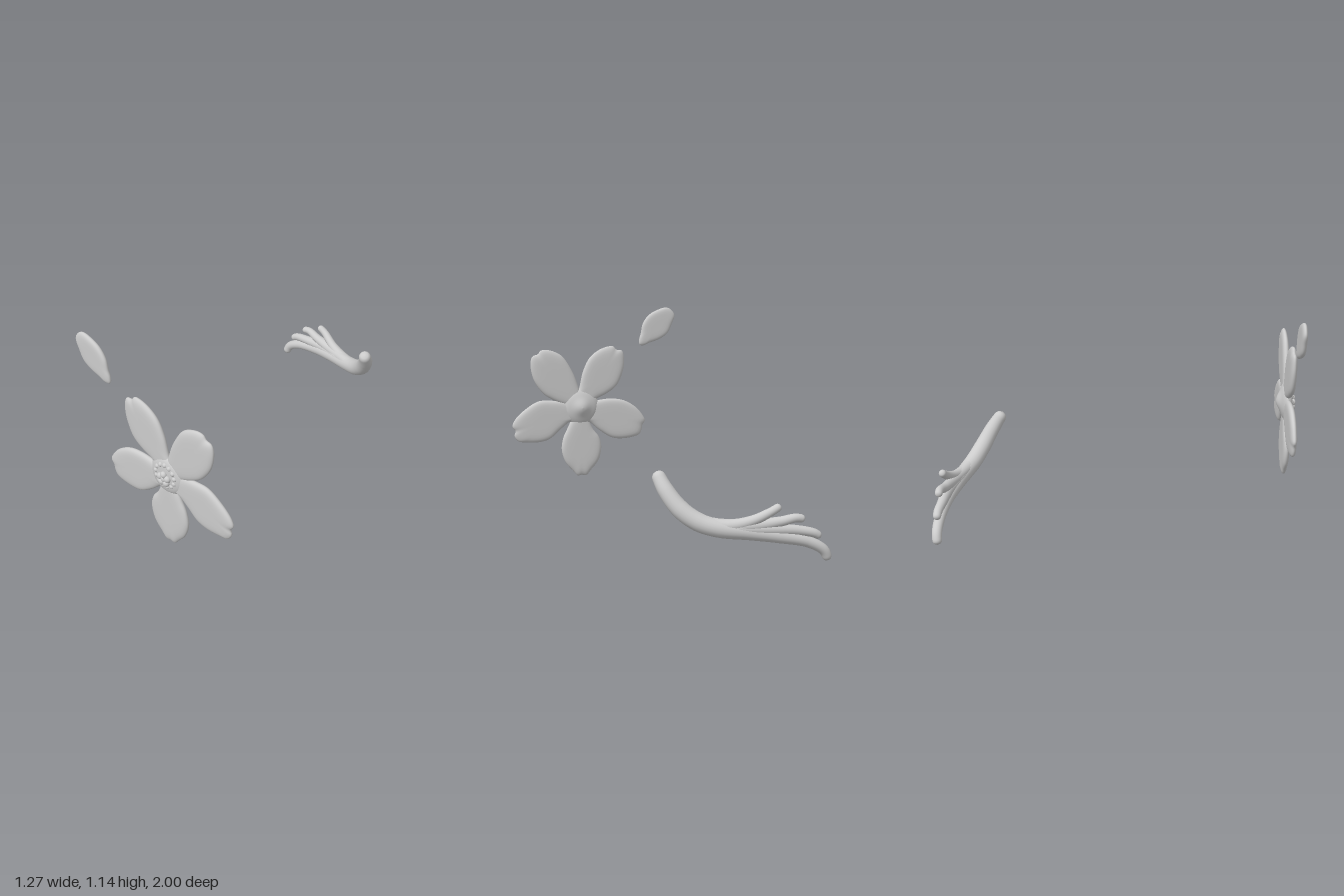
import * as THREE from 'three';
import { mergeVertices } from 'three/addons/utils/BufferGeometryUtils.js';

const grey = new THREE.MeshStandardMaterial({ color: 0xcccccc });
grey.name = 'lightGrey';

const add = (parent, name, geometry) => {
  const mesh = new THREE.Mesh(geometry, grey);
  mesh.name = name;
  parent.add(mesh);
  return mesh;
};

// Drops seams so that the normals run smoothly all round
function smooth(geometry) {
  geometry.deleteAttribute('normal');
  geometry.deleteAttribute('uv');
  const merged = mergeVertices(geometry, 1e-5);
  merged.computeVertexNormals();
  return merged;
}

// Soft cushion over a closed outline: rings shrink to the middle, front and back
function cushion(outline, half) {
  const curve = new THREE.CatmullRomCurve3(outline.map(([x, y]) => new THREE.Vector3(x, y, 0)), true);
  const n = 96;
  const rim = curve.getSpacedPoints(n).slice(0, n);
  if (THREE.ShapeUtils.area(rim) < 0) rim.reverse();
  const mid = rim.reduce((s, p) => s.add(p), new THREE.Vector3()).divideScalar(n);
  const sizes = [0.35, 0.6, 0.75, 0.85, 0.92, 0.97, 0.992];
  const rings = [
    ...sizes.map(s => [s, -1]), [1, 0], ...sizes.slice().reverse().map(s => [s, 1])
  ];
  const pos = [], index = [];
  for (const [s, side] of rings) {
    const z = side * half * Math.sqrt(1 - s ** 7);
    for (const p of rim) pos.push(mid.x + (p.x - mid.x) * s, mid.y + (p.y - mid.y) * s, z);
  }
  const back = pos.length / 3, front = back + 1;
  pos.push(mid.x, mid.y, -half, mid.x, mid.y, half);
  const last = (rings.length - 1) * n;
  for (let j = 0; j < n; j++) {
    const k = (j + 1) % n;
    for (let r = 0; r < last; r += n) {
      index.push(r + j, r + k, r + n + k, r + j, r + n + k, r + n + j);
    }
    index.push(back, k, j, front, last + j, last + k);
  }
  const g = new THREE.BufferGeometry();
  g.setAttribute('position', new THREE.Float32BufferAttribute(pos, 3));
  g.setIndex(index);
  g.computeVertexNormals();
  return g;
}

// Round-ended tube through [x, y, z, radius] points
function taperedTube(points) {
  const curve = new THREE.CatmullRomCurve3(points.map(p => new THREE.Vector3(p[0], p[1], p[2])));
  const segs = 140, sides = 20;
  const g = new THREE.TubeGeometry(curve, segs, 1, sides, false);
  const length = curve.getLength(), pos = g.attributes.position, v = new THREE.Vector3();
  for (let i = 0; i <= segs; i++) {
    const u = i / segs, c = curve.getPointAt(u);
    const f = curve.getUtoTmapping(u) * (points.length - 1);
    const a = Math.min(Math.floor(f), points.length - 2);
    let r = THREE.MathUtils.lerp(points[a][3], points[a + 1][3], f - a);
    const end = Math.min(1, Math.min(u, 1 - u) * length / r);
    r *= Math.sqrt(1 - (1 - end) ** 2);
    for (let j = 0; j <= sides; j++) {
      const k = i * (sides + 1) + j;
      v.fromBufferAttribute(pos, k).sub(c).multiplyScalar(r).add(c);
      pos.setXYZ(k, v.x, v.y, v.z);
    }
  }
  return smooth(g);
}

const petals = {
  upperLeftPetal: [[0.2, 0.54], [0.1, 0.6], [0.03, 0.632], [-0.034, 0.68], [-0.073, 0.76], [-0.085, 0.836],
    [-0.072, 0.9], [-0.034, 0.907], [-0.016, 0.928], [0.024, 0.928], [0.085, 0.905], [0.14, 0.86],
    [0.183, 0.775], [0.207, 0.675], [0.23, 0.6]],
  upperRightPetal: [[0.2, 0.54], [0.19, 0.6], [0.212, 0.675], [0.246, 0.768], [0.315, 0.877], [0.37, 0.909],
    [0.424, 0.921], [0.453, 0.915], [0.468, 0.895], [0.503, 0.882], [0.516, 0.836], [0.496, 0.733],
    [0.434, 0.644], [0.38, 0.607], [0.3, 0.57]],
  leftPetal: [[0.2, 0.56], [0.1, 0.588], [0.01, 0.597], [-0.079, 0.583], [-0.164, 0.532], [-0.215, 0.467],
    [-0.222, 0.445], [-0.206, 0.42], [-0.199, 0.385], [-0.183, 0.358], [-0.113, 0.339], [-0.01, 0.344],
    [0.075, 0.395], [0.143, 0.453], [0.2, 0.49]],
  rightPetal: [[0.2, 0.56], [0.29, 0.588], [0.38, 0.6], [0.468, 0.6], [0.554, 0.552], [0.622, 0.487],
    [0.636, 0.447], [0.617, 0.42], [0.624, 0.39], [0.6, 0.354], [0.554, 0.345], [0.468, 0.342],
    [0.4, 0.36], [0.338, 0.412], [0.275, 0.46], [0.21, 0.49]],
  lowerPetal: [[0.2, 0.55], [0.16, 0.49], [0.123, 0.41], [0.082, 0.354], [0.068, 0.289], [0.089, 0.203],
    [0.137, 0.145], [0.168, 0.112], [0.2, 0.116], [0.222, 0.112], [0.253, 0.145], [0.301, 0.203],
    [0.325, 0.282], [0.315, 0.357], [0.287, 0.419], [0.265, 0.463], [0.239, 0.5]]
};

const loosePetal = [[-0.419, 1.115], [-0.395, 1.152], [-0.365, 1.164], [-0.318, 1.155], [-0.25, 1.12],
  [-0.209, 1.065], [-0.195, 1.0], [-0.185, 0.965], [-0.187, 0.935], [-0.21, 0.928], [-0.25, 0.943],
  [-0.318, 0.966], [-0.37, 1.0], [-0.4, 1.057]];

// Plume strands, each from its tip to where it joins the stem
const strands = {
  stem: [[-0.615, 0.024, -0.965, 0.025], [-0.585, 0.08, -0.97, 0.027], [-0.5, 0.128, -0.965, 0.029],
    [-0.35, 0.165, -0.95, 0.036], [-0.2, 0.19, -0.92, 0.041], [-0.06, 0.209, -0.885, 0.046],
    [0.04, 0.24, -0.845, 0.048], [0.12, 0.3, -0.8, 0.047], [0.18, 0.39, -0.745, 0.042], [0.212, 0.478, -0.685, 0.033]],
  lowerStrand: [[-0.568, 0.15, -0.97, 0.02], [-0.53, 0.172, -0.97, 0.023], [-0.45, 0.189, -0.96, 0.026],
    [-0.3, 0.202, -0.945, 0.032], [-0.15, 0.21, -0.91, 0.038], [0, 0.226, -0.862, 0.036]],
  middleStrand: [[-0.479, 0.248, -0.97, 0.02], [-0.43, 0.257, -0.97, 0.022], [-0.35, 0.24, -0.955, 0.026],
    [-0.2, 0.222, -0.925, 0.034], [0, 0.226, -0.862, 0.036]],
  upperStrand: [[-0.35, 0.325, -0.965, 0.02], [-0.3, 0.298, -0.965, 0.022], [-0.21, 0.25, -0.935, 0.027],
    [-0.1, 0.224, -0.9, 0.034], [0.02, 0.234, -0.853, 0.038]]
};

export function createModel() {
  const model = new THREE.Group();
  model.name = 'flowerOrnament';

  const flower = new THREE.Group();
  flower.name = 'flower';
  model.add(flower);
  for (const [name, outline] of Object.entries(petals)) {
    add(flower, name, cushion(outline, 0.021)).position.z = 0.948;
  }

  // Hub: blunt cone behind, low dome in front
  const hub = [[0, -0.06], [0.025, -0.054], [0.06, -0.037], [0.095, -0.022], [0.115, -0.005],
    [0.1, 0.016], [0.075, 0.026], [0.045, 0.03], [0, 0.032]].map(p => new THREE.Vector2(...p));
  const hubGeometry = smooth(new THREE.LatheGeometry(new THREE.SplineCurve(hub).getPoints(32)
    .map(p => p.setX(Math.max(0, p.x))), 40));
  hubGeometry.rotateX(Math.PI / 2);
  add(flower, 'hub', hubGeometry).position.set(0.2, 0.553, 0.949);

  // Stamens: an outer ring of small beads round five larger ones
  const bead = new THREE.SphereGeometry(1, 16, 12);
  const ring = (name, count, radius, size, y, z) => {
    for (let i = 0; i < count; i++) {
      const a = Math.PI / 2 + (i / count) * Math.PI * 2;
      const m = add(flower, name, bead);
      m.position.set(0.2 + Math.cos(a) * radius, y + Math.sin(a) * radius, z);
      m.scale.set(size, size, 0.016);
    }
  };
  ring('outerStamen', 13, 0.064, 0.015, 0.558, 0.968);
  ring('innerStamen', 5, 0.026, 0.019, 0.545, 0.984);
  const core = add(flower, 'core', bead);
  core.position.set(0.2, 0.545, 0.983);
  core.scale.set(0.02, 0.02, 0.015);

  add(model, 'loosePetal', cushion(loosePetal, 0.017)).position.z = 0.948;

  const plume = new THREE.Group();
  plume.name = 'plume';
  model.add(plume);
  for (const [name, points] of Object.entries(strands)) add(plume, name, taperedTube(points));

  return model;
}
